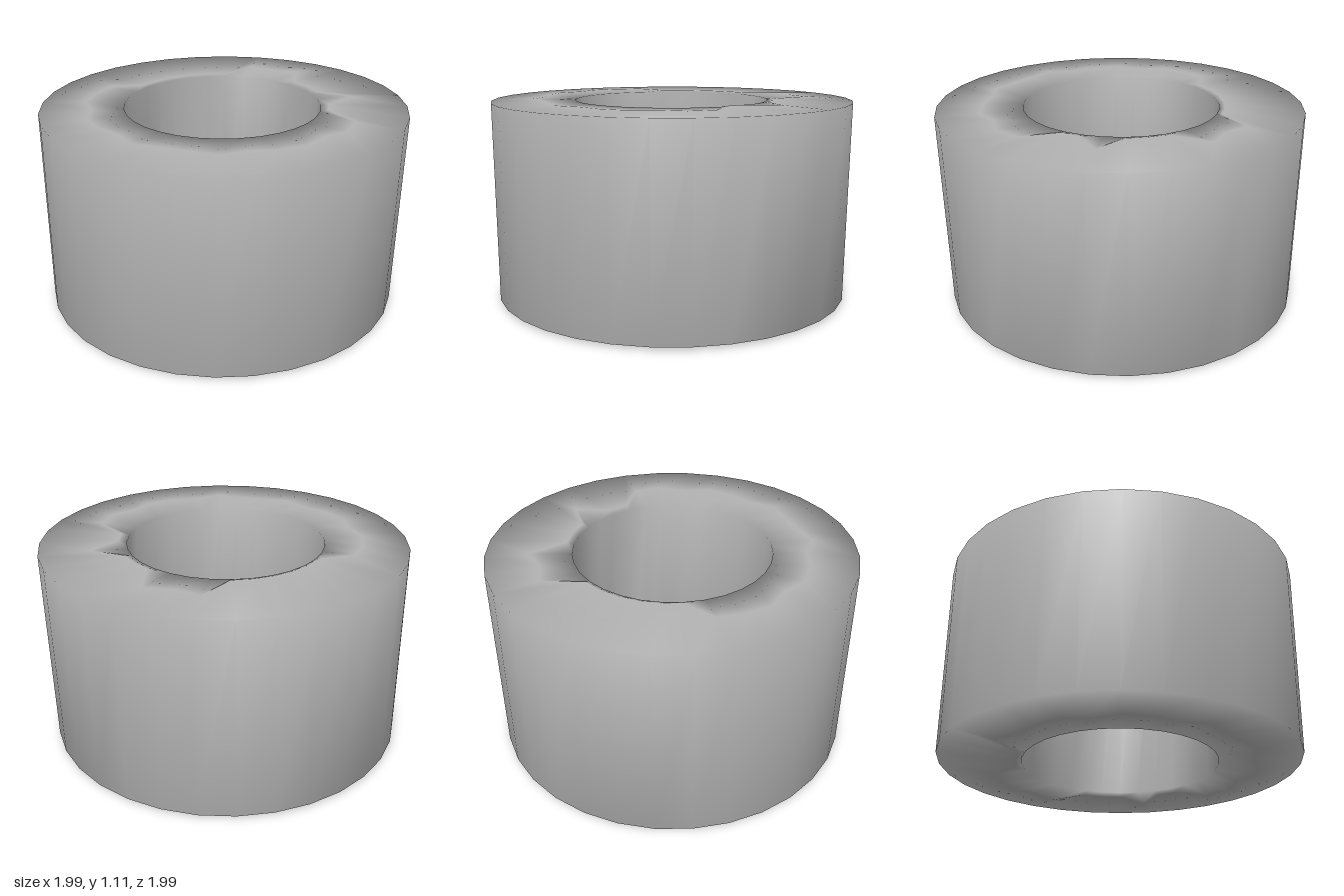
import * as THREE from 'three';

const SEG = 32;

// Radius of the uneven ridge on the end faces: wide bevel on some sectors, close to the bore on others
function ridgeRadius(i, wide) {
  return wide(i) ? 0.74 + 0.025 * Math.sin(i * 2.3) : 0.57;
}
// i counts from +x towards +z (front); 24 is the back
const topWide = i => i <= 16 || (i >= 23 && i <= 25) || i === 29;
const bottomWide = i => i <= 17 || (i >= 21 && i <= 25) || i === 29;

export function createModel() {
  const group = new THREE.Group();
  const grey = new THREE.MeshStandardMaterial({ color: 0xb3b3b3 });
  grey.name = 'grey';

  // Closed cross-section swept around the axis: outer wall, top ridge, bore, bottom ridge
  const section = [
    () => [0.985, 0.015, -0.012],
    () => [0.995, 1.1, 0],
    i => [ridgeRadius(i, topWide), 1.108, 0],
    () => [0.535, 1.1, -0.01],
    () => [0.535, 0.015, -0.01],
    i => [ridgeRadius(i, bottomWide), 0, -0.005],
  ];
  const n = section.length;
  const positions = [];
  const indices = [];
  for (let i = 0; i < SEG; i++) {
    const a = (i / SEG) * Math.PI * 2;
    for (const point of section) {
      const [r, y, shift] = point(i);
      positions.push(r * Math.cos(a) + shift, y, r * Math.sin(a) - 0.003);
    }
    const next = (i + 1) % SEG;
    for (let j = 0; j < n; j++) {
      const k = (j + 1) % n;
      const p = i * n + j, q = i * n + k, s = next * n + j, t = next * n + k;
      indices.push(p, q, s, q, t, s);
    }
  }
  const geometry = new THREE.BufferGeometry();
  geometry.setAttribute('position', new THREE.Float32BufferAttribute(positions, 3));
  geometry.setIndex(indices);
  geometry.computeVertexNormals();

  const ring = new THREE.Mesh(geometry, grey);
  ring.name = 'thickRing';
  group.add(ring);
  return group;
}
